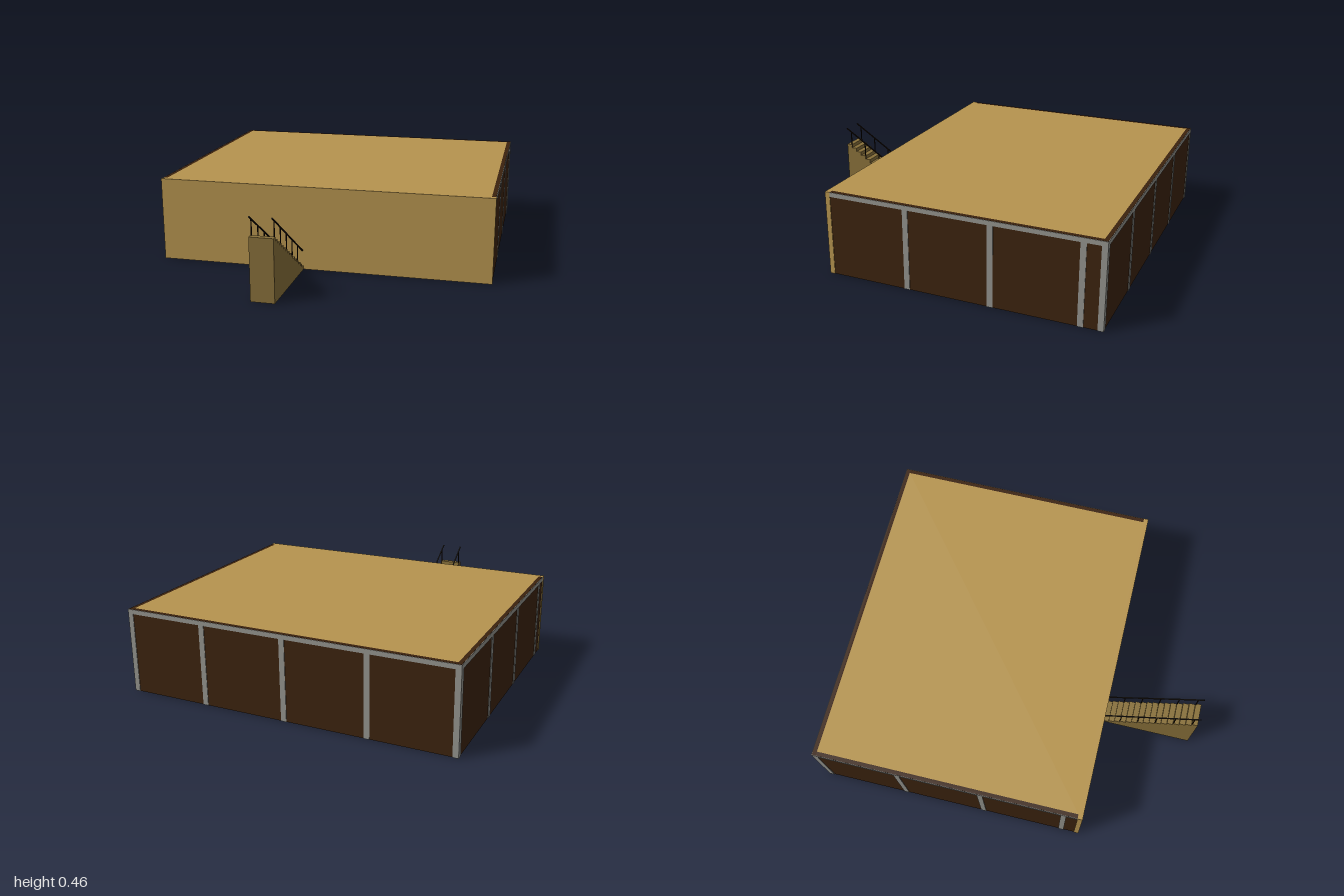
import * as THREE from 'three';

const mat = (name, color) => {
  const m = new THREE.MeshStandardMaterial({ color });
  m.name = name;
  return m;
};

export function createModel() {
  const tan = mat('tan wood', 0xb6944f);
  const stairWood = mat('stair wood', 0x88703a);
  const brown = mat('dark brown panel', 0x3b220e);
  const grey = mat('grey frame', 0x92928c);
  const black = mat('rail black', 0x170d05);

  const model = new THREE.Group();
  model.name = 'hall';

  // box given by its lower and upper corners
  const box = (parent, name, material, [x0, y0, z0], [x1, y1, z1]) => {
    const mesh = new THREE.Mesh(new THREE.BoxGeometry(x1 - x0, y1 - y0, z1 - z0), material);
    mesh.position.set((x0 + x1) / 2, (y0 + y1) / 2, (z0 + z1) / 2);
    mesh.name = name;
    parent.add(mesh);
    return mesh;
  };

  const X = 0.91, H = 0.46, T = 0.022, P = 0.003, BACK = -1, FRONT = 0.487, INNER = 0.46;
  const W = X - P; // outer face of the dark side walls
  const zb = BACK + P;

  // shell, open underneath
  box(model, 'frontWall', tan, [-X, 0, INNER], [X, H, FRONT]);
  box(model, 'roof', tan, [-W + T, H - 0.02, zb + T], [W - T, H, INNER]);
  box(model, 'backWall', brown, [-W, 0, zb], [W, H, zb + T]);
  for (const s of [-1, 1]) {
    const a = s * W, b = s * (W - T);
    box(model, s > 0 ? 'leftWall' : 'rightWall', brown,
      [Math.min(a, b), 0, zb + T], [Math.max(a, b), H, INNER]);
  }

  // thin frames on the back and both sides
  const frames = new THREE.Group();
  frames.name = 'wallFrames';
  model.add(frames);
  const bar = 0.03, barTop = H - 0.001, beam = H - 0.025;
  box(frames, 'backBeam', grey, [-X, beam, BACK], [X, barTop, zb]);
  for (const x of [-X + bar / 2, -0.45, 0, 0.46, X - bar / 2]) {
    box(frames, 'backPost', grey, [x - bar / 2, 0, BACK], [x + bar / 2, beam, zb]);
  }
  const sidePosts = {
    1: [0.03, -0.425, -0.885, BACK + bar / 2],
    '-1': [0.385, -0.07, -0.53, BACK + bar / 2],
  };
  for (const s of [-1, 1]) {
    const x0 = s > 0 ? W : -X, x1 = x0 + P;
    box(frames, 'sideBeam', grey, [x0, beam, BACK], [x1, barTop, INNER]);
    for (const z of sidePosts[s]) {
      box(frames, 'sidePost', grey, [x0, 0, z - bar / 2], [x1, beam, z + bar / 2]);
    }
  }

  // solid staircase rising away from the front wall
  const steps = 16, rise = 0.333 / steps, run = (1 - FRONT) / steps;
  const sx0 = -0.228, sx1 = -0.102;
  const profile = new THREE.Shape();
  profile.moveTo(FRONT, 0);
  for (let i = 0; i < steps; i++) {
    profile.lineTo(FRONT + i * run, (i + 1) * rise);
    profile.lineTo(FRONT + (i + 1) * run, (i + 1) * rise);
  }
  profile.lineTo(1, 0);
  const stairs = new THREE.Mesh(
    new THREE.ExtrudeGeometry(profile, { depth: sx1 - sx0, bevelEnabled: false }), stairWood);
  stairs.rotation.y = -Math.PI / 2; // profile x becomes z, depth runs toward -x
  stairs.position.x = sx1;
  stairs.name = 'stairs';
  model.add(stairs);

  // sloping handrails on thin posts
  const r = 0.0025;
  const railY = (z) => 0.105 + ((z - FRONT) / (1 - FRONT)) * 0.33;
  for (const x of [sx0 + 0.005, sx1 - 0.005]) {
    const rail = new THREE.Group();
    rail.name = 'handrail';
    model.add(rail);
    const dy = railY(1) - railY(FRONT), dz = 1 - FRONT;
    const top = new THREE.Mesh(new THREE.BoxGeometry(0.006, 0.006, Math.hypot(dy, dz)), black);
    top.position.set(x, railY((1 + FRONT) / 2), (1 + FRONT) / 2);
    top.rotation.x = -Math.atan2(dy, dz);
    top.name = 'railBar';
    rail.add(top);
    for (let i = 0; i < 5; i++) {
      const z = 0.97 - i * 0.0965;
      const foot = Math.floor((z - FRONT) / run) * rise;
      box(rail, 'railPost', black, [x - r, foot, z - r], [x + r, railY(z), z + r]);
    }
  }

  return model;
}
